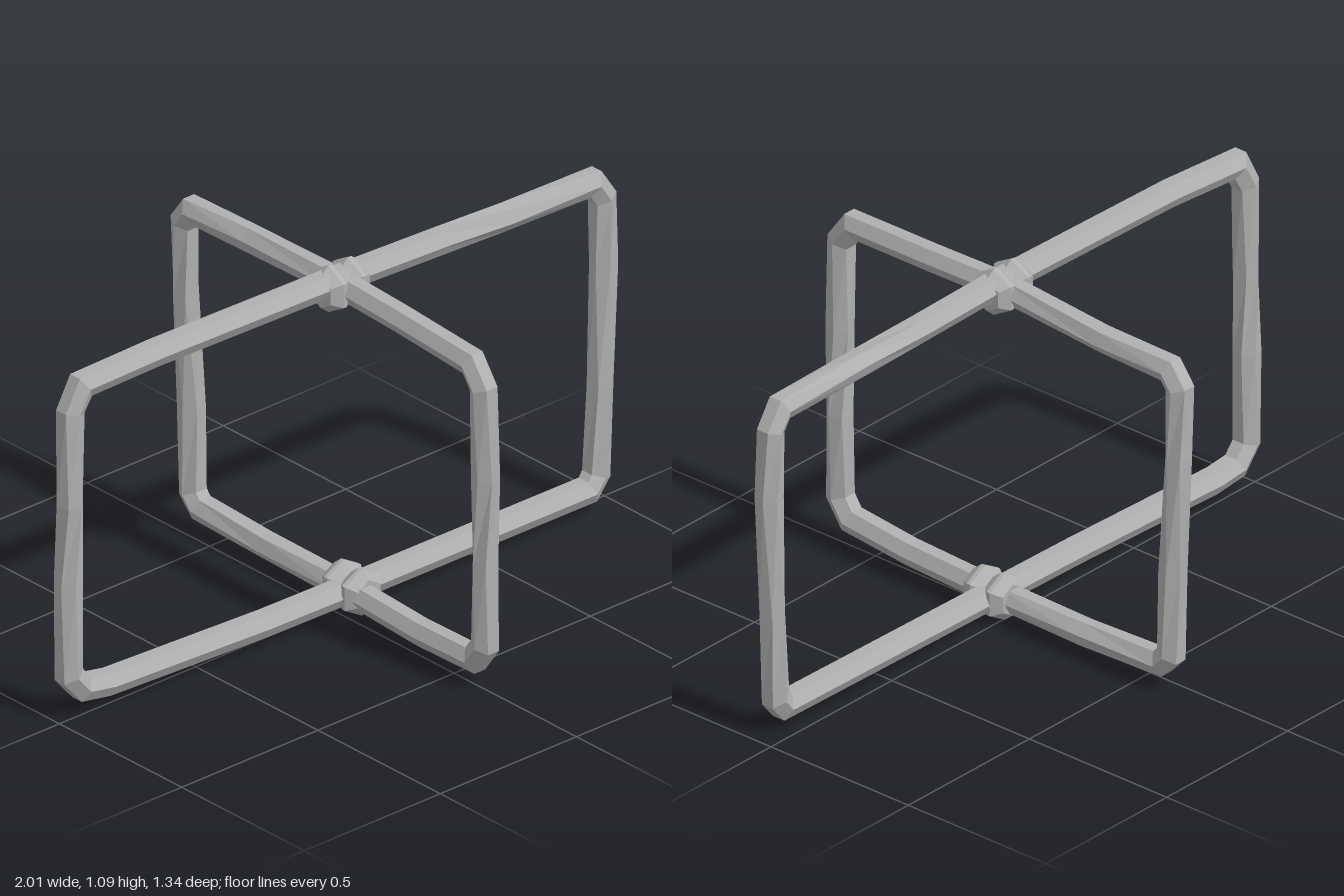
import * as THREE from 'three';

const SIDES = 6;

// Closed six-sided bar through points [x, y, z, twist]; n is the normal of the loop's plane.
function closedBar(points, n, radius) {
  const count = points.length;
  const P = points.map(p => new THREE.Vector3(p[0], p[1], p[2]));
  const pos = [], index = [];
  for (let i = 0; i < count; i++) {
    const a = P[i].clone().sub(P[(i + count - 1) % count]).normalize();
    const b = P[(i + 1) % count].clone().sub(P[i]).normalize();
    const t = a.clone().add(b).normalize();
    const side = n.clone().cross(t).normalize();
    const miter = 1 / Math.max(0.7, t.dot(b));
    for (let j = 0; j < SIDES; j++) {
      const ang = Math.PI / 6 + (j / SIDES) * Math.PI * 2 + (points[i][3] || 0);
      const v = P[i].clone()
        .addScaledVector(side, Math.cos(ang) * radius * miter)
        .addScaledVector(n, Math.sin(ang) * radius);
      pos.push(v.x, v.y, v.z);
      const k = (j + 1) % SIDES, m = (i + 1) % count;
      const A = i * SIDES + j, B = i * SIDES + k, C = m * SIDES + k, D = m * SIDES + j;
      index.push(A, B, C, A, C, D);
    }
  }
  const g = new THREE.BufferGeometry();
  g.setAttribute('position', new THREE.Float32BufferAttribute(pos, 3));
  g.setIndex(index);
  const flat = g.toNonIndexed();
  flat.computeVertexNormals();
  return flat;
}

// Hexagonal binding ring with a ridge around its middle, axis along y.
function ringGeometry() {
  const profile = [[0, -0.036], [0.048, -0.036], [0.072, -0.006], [0.072, 0.006], [0.048, 0.036], [0, 0.036]];
  return new THREE.LatheGeometry(profile.map(p => new THREE.Vector2(p[0], p[1])), SIDES);
}

export function createModel() {
  const model = new THREE.Group();
  model.name = 'crossedFrames';
  const metal = new THREE.MeshStandardMaterial({ color: 0xb0b0b0, flatShading: true });
  metal.name = 'grey';

  const add = (geometry, name) => {
    const mesh = new THREE.Mesh(geometry, metal);
    mesh.name = name;
    model.add(mesh);
    return mesh;
  };

  // Wide frame, running left to right
  const wide = [
    [-0.965, 0.14, 0.0], [-0.967, 0.42, 0.0, -0.2], [-0.967, 0.67, 0.005, 0.25], [-0.96, 0.95, 0.0],
    [-0.925, 1.022, 0.005], [-0.66, 1.034, 0.015], [0, 1.034, 0.03],
    [0.35, 1.024, 0.033], [0.6, 1.017, 0.037, 0.15], [0.92, 1.012, 0.038],
    [0.958, 0.955, 0.038], [0.962, 0.75, 0.04, 0.25], [0.947, 0.38, 0.042, -0.2], [0.933, 0.11, 0.042],
    [0.9, 0.072, 0.045], [0.08, 0.068, 0.036], [-0.28, 0.068, 0.03], [-0.83, 0.072, 0.005], [-0.918, 0.085, 0.0]
  ];
  add(closedBar(wide, new THREE.Vector3(0, 0, 1), 0.04), 'wideFrame');

  // Narrow frame, running front to back
  const narrow = [
    [-0.005, 0.14, 0.632], [-0.003, 0.4, 0.632, -0.2], [-0.005, 0.66, 0.634, 0.25], [-0.01, 0.935, 0.632],
    [-0.01, 0.998, 0.587], [0.003, 1.008, 0.28], [0.008, 1.016, 0.02],
    [0.025, 0.998, -0.36, 0.15], [0.025, 0.993, -0.595],
    [0.025, 0.945, -0.63], [0.03, 0.73, -0.63, 0.25], [0.037, 0.375, -0.615, -0.2], [0.038, 0.115, -0.61],
    [0.037, 0.078, -0.575], [0.037, 0.068, -0.3, 0.15], [0.03, 0.069, 0.03], [0.01, 0.068, 0.36], [-0.003, 0.082, 0.59]
  ];
  add(closedBar(narrow, new THREE.Vector3(1, 0, 0), 0.04), 'narrowFrame');

  // Pairs of binding rings at the two crossings
  for (const s of [-1, 1]) {
    const top = add(ringGeometry(), s < 0 ? 'topRingRight' : 'topRingLeft');
    top.rotation.z = Math.PI / 2;
    top.rotation.y = 0;
    top.geometry.rotateY(Math.PI / 2);
    top.position.set(0.005 + s * 0.036, 1.015, 0.028);

    const bottom = add(ringGeometry(), s < 0 ? 'bottomRingBack' : 'bottomRingFront');
    bottom.rotation.x = Math.PI / 2;
    bottom.position.set(0.038, 0.072, 0.038 + s * 0.036);
  }
  return model;
}
